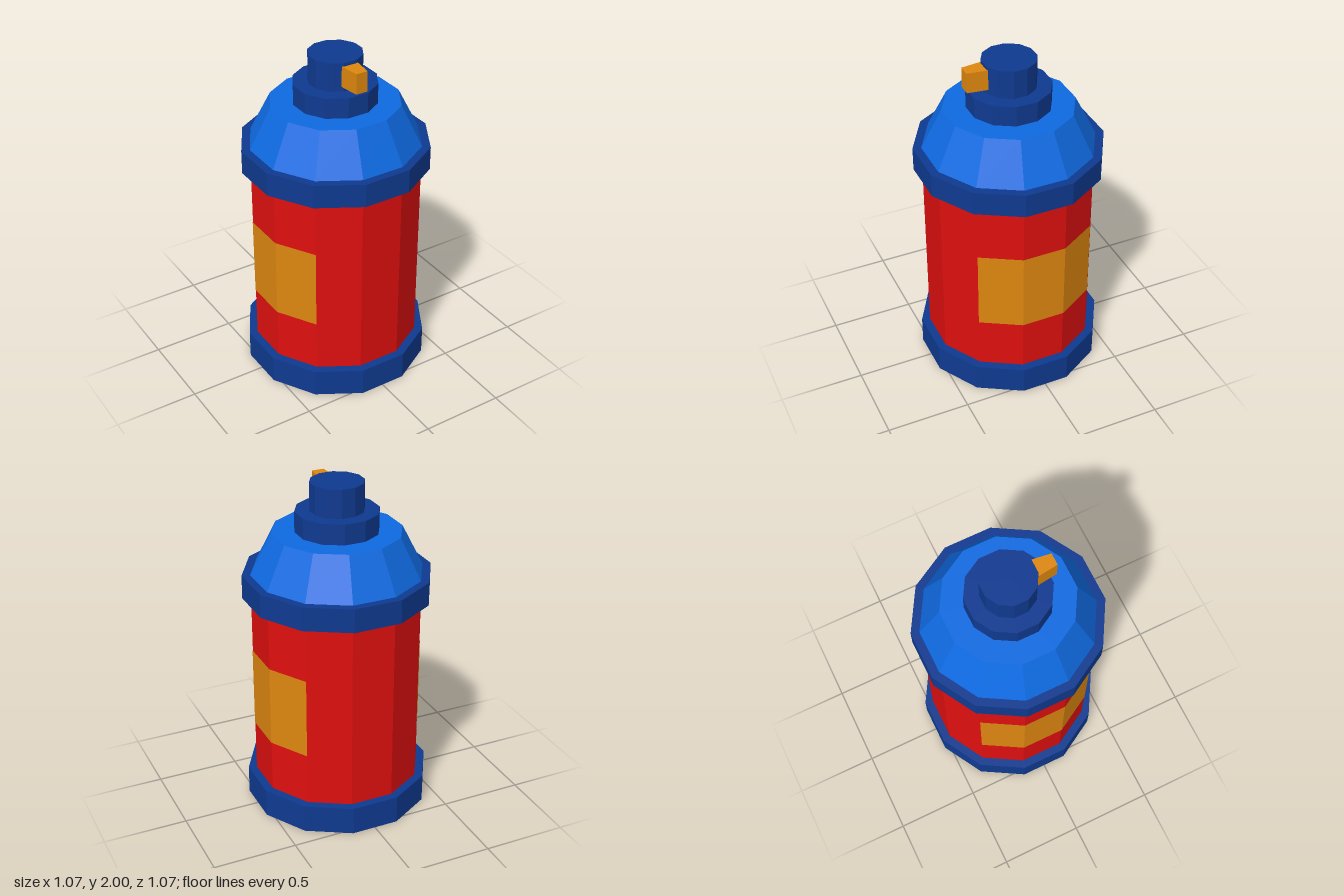
import * as THREE from 'three';

const SIDES = 12;
const CORNER = 1 / Math.cos(Math.PI / SIDES); // flat-to-centre distance -> corner radius

export function createModel() {
  const model = new THREE.Group();
  model.name = 'sprayCan';

  const paint = (name, color) => {
    const m = new THREE.MeshStandardMaterial({ color, flatShading: true });
    m.name = name;
    return m;
  };
  const red = paint('red', 0xdf0f0f);
  const navy = paint('navy', 0x0f3a90);
  const blue = paint('blue', 0x0f6ae2);
  const orange = paint('orange', 0xde870f);

  const add = (name, geometry, material) => {
    const mesh = new THREE.Mesh(geometry, material);
    mesh.name = name;
    model.add(mesh);
    return mesh;
  };

  // Twelve-sided section from y0 to y1, flat faces toward the axes
  const section = (name, y0, y1, bottom, top, material) => {
    const g = new THREE.CylinderGeometry(top * CORNER, bottom * CORNER, y1 - y0,
      SIDES, 1, false, Math.PI / SIDES);
    add(name, g, material).position.y = (y0 + y1) / 2;
  };

  section('baseRim', 0, 0.172, 0.535, 0.535, navy);
  section('body', 0.172, 1.32, 0.486, 0.486, red);
  section('upperRim', 1.32, 1.462, 0.535, 0.535, navy);
  section('shoulder', 1.462, 1.708, 0.487, 0.367, blue);
  section('collar', 1.708, 1.83, 0.237, 0.237, navy);
  section('button', 1.83, 2, 0.153, 0.153, navy);

  // Labels wrapping three faces on each side
  for (const [name, start] of [['leftLabel', 0.25], ['rightLabel', 1.25]]) {
    const r = 0.488 * CORNER;
    const g = new THREE.CylinderGeometry(r, r, 0.49, 3, 1, true,
      start * Math.PI, Math.PI / 2);
    add(name, g, orange).position.y = 0.735;
  }

  // Nozzle tapering toward the front
  const nozzle = new THREE.BoxGeometry(0.104, 0.122, 0.125);
  const p = nozzle.attributes.position;
  for (let i = 0; i < p.count; i++) {
    if (p.getZ(i) > 0) p.setX(i, p.getX(i) * 0.69);
  }
  nozzle.computeVertexNormals();
  add('nozzle', nozzle, orange).position.set(0, 1.919, 0.205);

  return model;
}
